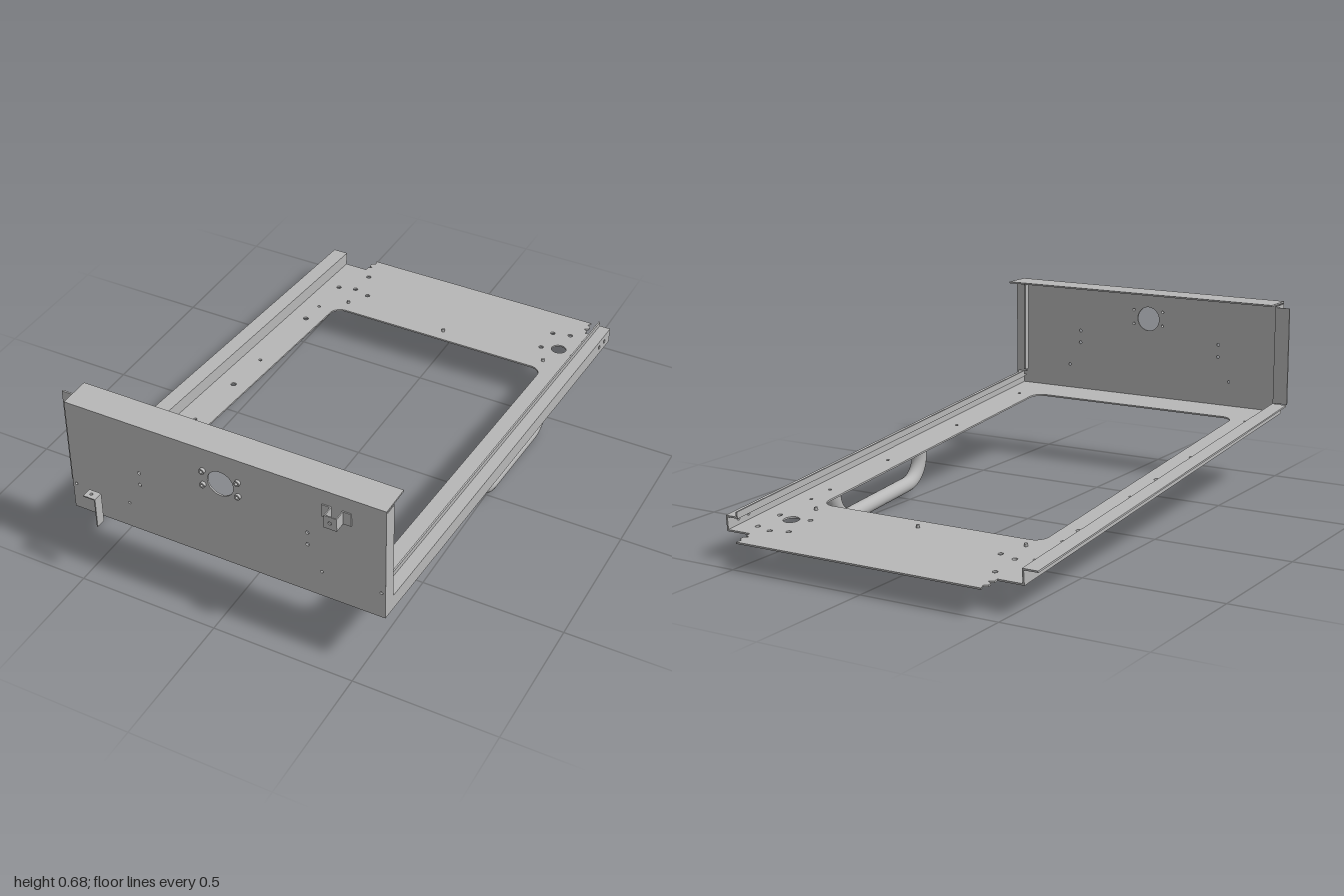
import * as THREE from 'three';

const T = 0.006;                       // sheet thickness
const TILT = THREE.MathUtils.degToRad(5);
const FRONT = 0.945, BASE = 0.26;      // front face z, height of the lower front edge
const XL = 0.585, XR = -0.54;          // side walls
const back = z => (FRONT - z) / Math.cos(TILT);   // distance along the sloping tray

const steel = new THREE.MeshStandardMaterial({ color: 0xb8b8b8 });
steel.name = 'grey steel';

function add(parent, name, geometry) {
  const mesh = new THREE.Mesh(geometry, steel);
  mesh.name = name;
  parent.add(mesh);
  return mesh;
}

// box given by its limits on each axis
function slab(parent, name, [x0, x1], [y0, y1], [z0, z1]) {
  const mesh = add(parent, name, new THREE.BoxGeometry(x1 - x0, y1 - y0, z1 - z0));
  mesh.position.set((x0 + x1) / 2, (y0 + y1) / 2, (z0 + z1) / 2);
  return mesh;
}

function drill(shape, x, y, r) {
  shape.holes.push(new THREE.Path().absarc(x, y, r, 0, Math.PI * 2, true));
}

function polygon(points) {
  return new THREE.Shape(points.map(p => new THREE.Vector2(...p)));
}

const sheet = (shape, depth = T) =>
  new THREE.ExtrudeGeometry(shape, { depth, bevelEnabled: false, curveSegments: 16 });

function roundedHole(x0, x1, y0, y1, r) {
  const p = new THREE.Path();
  p.absarc(x1 - r, y1 - r, r, 0, Math.PI / 2);
  p.absarc(x0 + r, y1 - r, r, Math.PI / 2, Math.PI);
  p.absarc(x0 + r, y0 + r, r, Math.PI, Math.PI * 1.5);
  p.absarc(x1 - r, y0 + r, r, Math.PI * 1.5, Math.PI * 2);
  p.closePath();
  return p;
}

function buildTray() {
  const tray = new THREE.Group();
  tray.name = 'slopingTray';
  tray.position.set(0, BASE, FRONT);
  tray.rotation.x = -TILT;
  const end = back(-0.92), tip = back(-1);

  // floor with a notched rear tab and a large window
  const floor = polygon([
    [XR, 0], [XL, 0], [XL, end], [0.49, end], [0.49, end + 0.018], [0.475, end + 0.026],
    [0.49, end + 0.036], [0.49, end + 0.05], [0.477, end + 0.06], [0.483, tip],
    [-0.44, tip], [-0.434, end + 0.06], [-0.447, end + 0.05], [-0.447, end + 0.036],
    [-0.432, end + 0.026], [-0.447, end + 0.018], [-0.447, end], [XR, end]
  ]);
  floor.holes.push(roundedHole(-0.41, 0.447, back(0.807), back(-0.597), 0.045));
  for (const x of [-0.468, 0.51])
    for (const z of [-0.57, -0.465, -0.12, 0.33, 0.785]) drill(floor, x, back(z), x < 0 && z === -0.465 ? 0.01 : 0.006);
  drill(floor, -0.468, back(0.07), 0.01);
  drill(floor, -0.513, back(0.385), 0.012);
  for (const [x, z] of [[-0.472, -0.74], [-0.347, -0.74], [-0.41, -0.76], [-0.41, -0.873],
    [0.384, -0.855], [0.447, -0.873], [0.51, -0.855], [0.384, -0.74], [0.51, -0.74]])
    drill(floor, x, back(z), 0.009);
  drill(floor, 0.447, back(-0.76), 0.028);
  add(tray, 'trayFloor', sheet(floor).rotateX(-Math.PI / 2));

  // small studs behind the window
  for (const x of [-0.385, 0.02, 0.428]) {
    const stud = add(tray, 'stud', new THREE.CylinderGeometry(0.006, 0.006, 0.012, 12));
    stud.position.set(x, T + 0.004, -back(-0.652));
  }

  // left rail: wall, inward flange and raised lip
  const wall = polygon([[0, 0], [end, 0], [end, 0.055], [0, 0.055]]);
  drill(wall, back(-0.815), 0.028, 0.008);
  drill(wall, back(-0.866), 0.028, 0.008);
  drill(wall, 0.04, 0.03, 0.006);
  const leftWall = add(tray, 'leftRailWall', sheet(wall).rotateY(Math.PI / 2));
  leftWall.position.x = XL - T;
  slab(tray, 'leftRailFlange', [0.54, XL], [0.055 - T, 0.055], [-end, -0.05]);
  slab(tray, 'leftRailLip', [0.537, 0.537 + T], [0.055 - T, 0.072], [-end, -0.07]);

  // right rail: wall and outward flange
  slab(tray, 'rightRailWall', [XR, XR + T], [0, 0.055], [-end, 0]);
  slab(tray, 'rightRailFlange', [-0.59, XR + T], [0.055 - T, 0.055], [-end, -0.065]);

  // tubular carrying handle under the left side
  const v = (y, s) => new THREE.Vector3(0.51, y, -s);
  const s0 = 0.873, s1 = 1.4, low = -0.119, r = 0.095, k = r * 0.45;
  const path = new THREE.CurvePath();
  path.add(new THREE.LineCurve3(v(0.002, s0), v(low + r, s0)));
  path.add(new THREE.CubicBezierCurve3(v(low + r, s0), v(low + k, s0), v(low, s0 + k), v(low, s0 + r)));
  path.add(new THREE.LineCurve3(v(low, s0 + r), v(low, s1 - r)));
  path.add(new THREE.CubicBezierCurve3(v(low, s1 - r), v(low, s1 - k), v(low + k, s1), v(low + r, s1)));
  path.add(new THREE.LineCurve3(v(low + r, s1), v(0.002, s1)));
  add(tray, 'handle', new THREE.TubeGeometry(path, 64, 0.027, 20));
  return tray;
}

function buildFrontPanel() {
  const panel = new THREE.Group();
  panel.name = 'frontPanel';
  const top = 0.685;

  // upright sheet with a port and fixing holes
  const face = polygon([[XR, BASE], [XL, BASE], [XL, top], [XR, top]]);
  drill(face, 0.02, 0.57, 0.046);
  for (const x of [-0.278, 0.32]) for (const y of [0.45, 0.497]) drill(face, x, y, 0.006);
  for (const x of [-0.527, -0.325, 0.368, 0.571]) drill(face, x, 0.358, 0.005);
  const bolts = [];
  for (const x of [-0.041, 0.083]) for (const y of [0.547, 0.601]) bolts.push([x, y]);
  bolts.forEach(([x, y]) => drill(face, x, y, 0.005));
  add(panel, 'panelSheet', sheet(face)).position.z = FRONT - T;

  // threaded collars around the port
  for (const [x, y] of bolts) {
    const ring = new THREE.Shape().absarc(x, y, 0.01, 0, Math.PI * 2);
    drill(ring, x, y, 0.005);
    add(panel, 'collar', sheet(ring, 0.01)).position.z = FRONT;
  }

  // folded edges
  slab(panel, 'topFlange', [XR, XL], [top - T, top], [0.833, FRONT]);
  slab(panel, 'leftReturn', [XL - T, XL], [BASE, 0.675], [0.893, FRONT]);
  slab(panel, 'leftReturnFlange', [0.54, XL], [0.32, 0.67], [0.893, 0.893 + T]);
  slab(panel, 'leftReturnLip', [0.537, 0.537 + T], [0.33, 0.67], [0.876, 0.893 + T]);
  slab(panel, 'rightReturn', [XR, XR + T], [BASE, 0.675], [0.88, FRONT]);
  slab(panel, 'rightReturnFlange', [-0.59, XR + T], [0.31, 0.67], [0.88, 0.88 + T]);

  // hat bracket
  const t = 0.004, z0 = FRONT, z1 = 0.988, y = [0.585, 0.632];
  slab(panel, 'hatFoot', [0.372, 0.402], y, [z0, z0 + t]);
  slab(panel, 'hatFoot', [0.442, 0.471], y, [z0, z0 + t]);
  slab(panel, 'hatSide', [0.4, 0.4 + t], y, [z0, z1]);
  slab(panel, 'hatSide', [0.44, 0.44 + t], y, [z0, z1]);
  const cap = polygon([[0.4, y[0]], [0.444, y[0]], [0.444, y[1]], [0.4, y[1]]]);
  drill(cap, 0.421, 0.608, 0.006);
  add(panel, 'hatCap', sheet(cap, t)).position.z = z1 - t;

  // small angle bracket standing off the lower right corner
  slab(panel, 'angleSide', [-0.422, -0.418], [0.26, 0.373], [0.965, 1]);
  const shelf = polygon([[-0.463, -1], [-0.418, -1], [-0.418, -0.965], [-0.463, -0.965]]);
  drill(shelf, -0.444, -0.982, 0.005);
  add(panel, 'angleTop', sheet(shelf, 0.004).rotateX(-Math.PI / 2)).position.y = 0.37;
  const nut = new THREE.Shape().absarc(-0.444, -0.982, 0.009, 0, Math.PI * 2);
  drill(nut, -0.444, -0.982, 0.005);
  add(panel, 'angleNut', sheet(nut, 0.007).rotateX(-Math.PI / 2)).position.y = 0.363;
  return panel;
}

export function createModel() {
  const model = new THREE.Group();
  model.name = 'handledTray';
  model.add(buildTray(), buildFrontPanel());
  return model;
}
